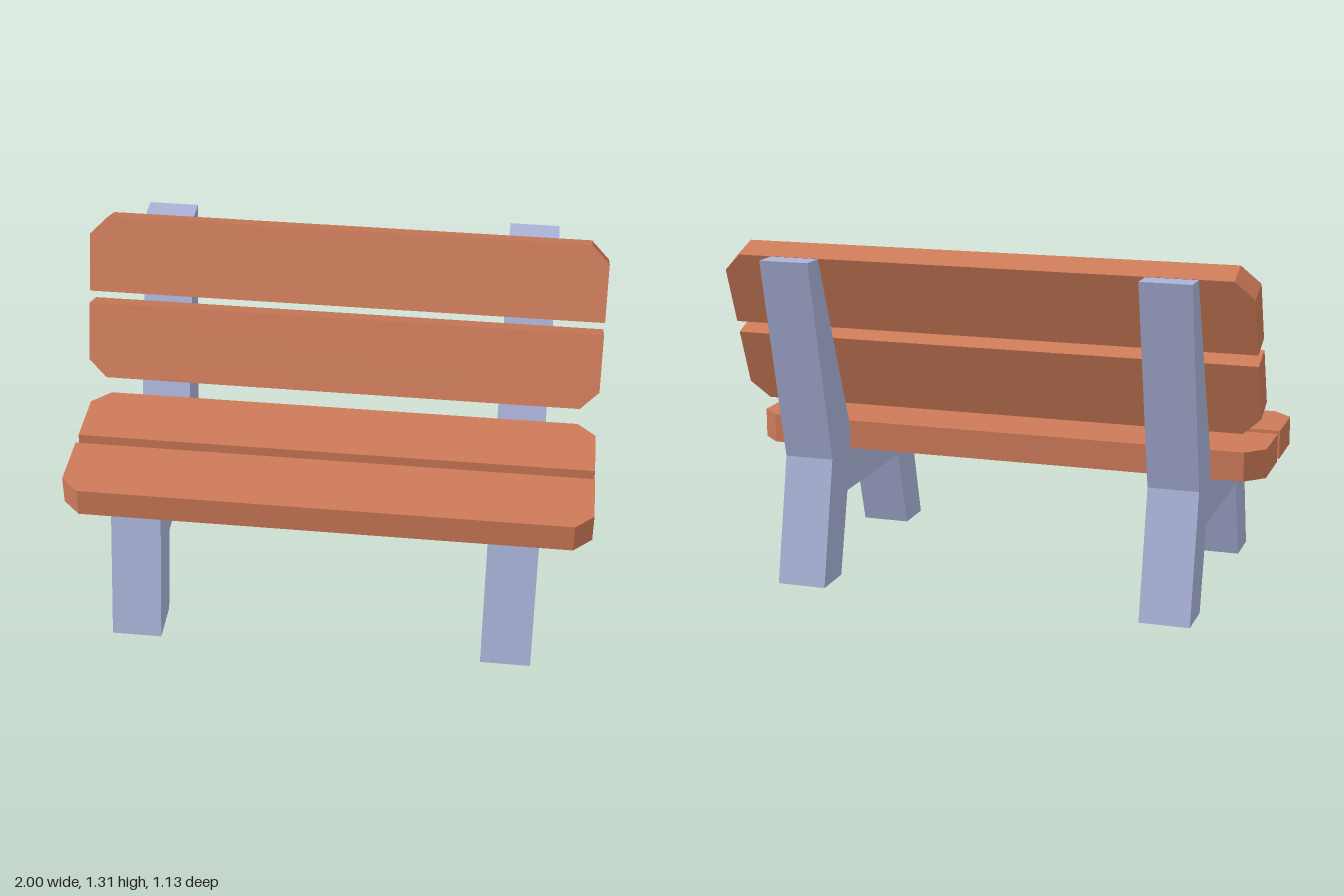
import * as THREE from 'three';

const wood = new THREE.MeshStandardMaterial({ color: 0xcc7a58, flatShading: true });
const stone = new THREE.MeshStandardMaterial({ color: 0xa9b2d8, flatShading: true });

const LENGTH = 2, WIDTH = 0.296, THICK = 0.11, CUT = 0.07;

function extrude(points, depth) {
  const shape = new THREE.Shape(points.map(([x, y]) => new THREE.Vector2(x, y)));
  return new THREE.ExtrudeGeometry(shape, { depth, bevelEnabled: false });
}

export function createModel() {
  const bench = new THREE.Group();
  bench.name = 'bench';

  // Plank: two corners cut off along one long edge
  const h = LENGTH / 2;
  const plankGeometry = extrude([
    [-h, 0], [h, 0], [h, WIDTH - CUT], [h - CUT, WIDTH],
    [-h + CUT, WIDTH], [-h, WIDTH - CUT],
  ], THICK);

  // Each plank is turned about x so its cut edge faces outward
  const tilt = -0.37;
  const planks = [
    ['frontSeatPlank', 0.59, 0.145, Math.PI / 2],
    ['rearSeatPlank', 0.48, 0.095, -Math.PI / 2],
    ['upperBackPlank', 0.99, -0.363, tilt],
    ['lowerBackPlank', 0.985, -0.243, Math.PI + tilt],
  ];
  for (const [name, y, z, angle] of planks) {
    const plank = new THREE.Mesh(plankGeometry, wood);
    plank.name = name;
    plank.position.set(0, y, z);
    plank.rotation.x = angle;
    bench.add(plank);
  }

  // Side frame: legs, seat rail and back post in one profile of (z, y)
  const frameGeometry = extrude([
    [0.565, 0], [0.44, 0.48], [-0.165, 0.48], [-0.47, 1.265],
    [-0.565, 1.265], [-0.38, 0.48], [-0.485, 0], [-0.32, 0],
    [-0.24, 0.32], [0.305, 0.32], [0.4, 0],
  ], 0.19);
  frameGeometry.rotateY(-Math.PI / 2);
  for (const [name, x] of [['leftFrame', 0.805], ['rightFrame', -0.615]]) {
    const frame = new THREE.Mesh(frameGeometry, stone);
    frame.name = name;
    frame.position.x = x;
    bench.add(frame);
  }

  return bench;
}
